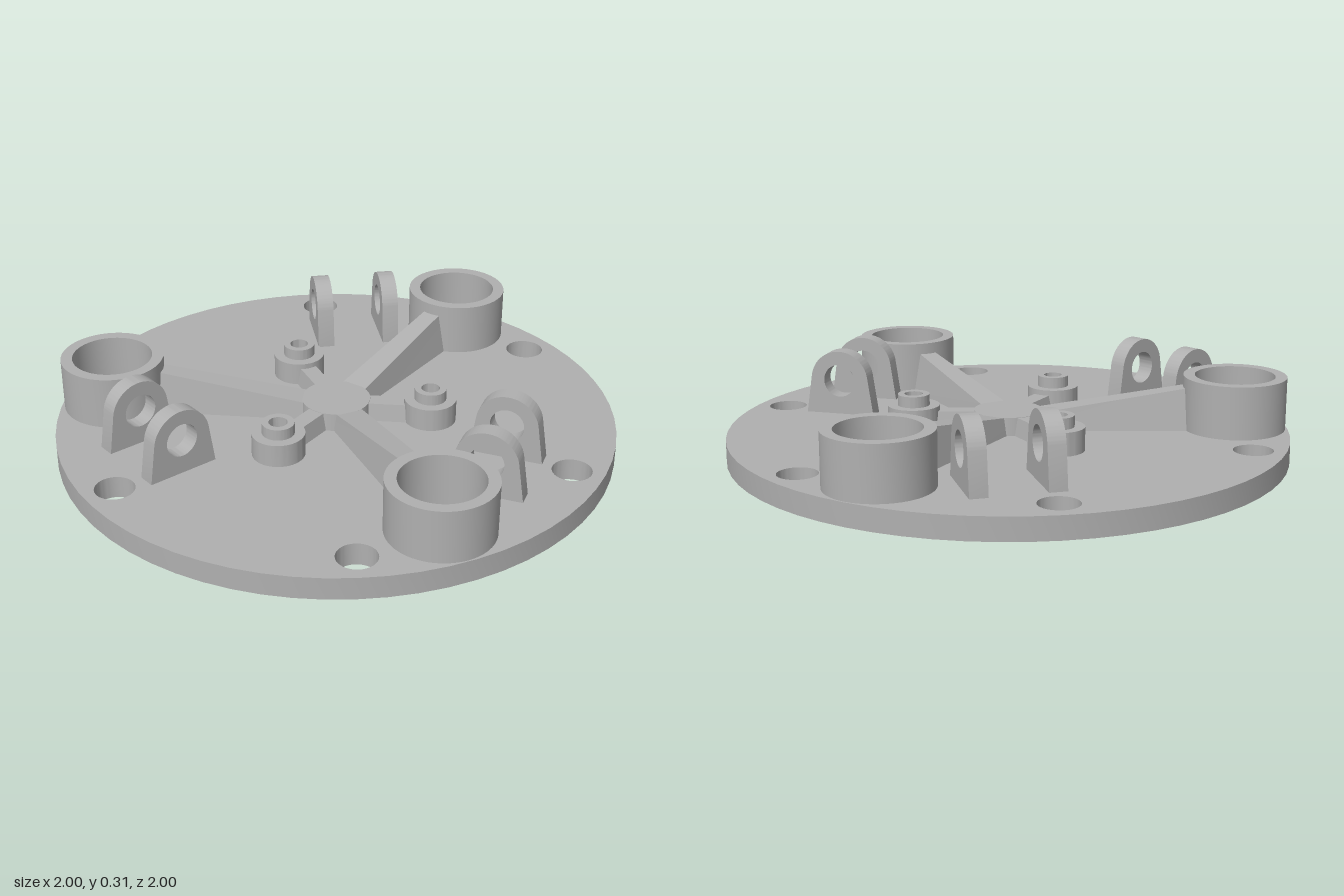
import * as THREE from 'three';
import { toCreasedNormals } from 'three/addons/utils/BufferGeometryUtils.js';

const PLATE = 0.08; // plate thickness
const BURY = 0.07;  // parts start slightly inside the plate
const BORE = { r: 0.81, size: 0.143 };
const PIN = { r: 0.338, size: 0.033 };

export function createModel() {
  const model = new THREE.Group();
  model.name = 'mountingPlate';
  const grey = new THREE.MeshStandardMaterial({ color: 0xb0b0b0 });
  grey.name = 'machined grey';

  const rad = THREE.MathUtils.degToRad;
  const add = (parent, name, geometry) => {
    const mesh = new THREE.Mesh(geometry, grey);
    mesh.name = name;
    parent.add(mesh);
    return mesh;
  };
  const circle = (Type, r, x = 0, y = 0) => new Type().absarc(x, y, r, 0, Math.PI * 2, false);
  const extrude = (shape, depth) => toCreasedNormals(
    new THREE.ExtrudeGeometry(shape, { depth, bevelEnabled: false, curveSegments: 32 }), 0.6);

  // Upright tube between two heights
  const tube = (outer, inner, y0, y1) => {
    const shape = circle(THREE.Shape, outer);
    shape.holes.push(circle(THREE.Path, inner));
    return extrude(shape, y1 - y0).rotateX(-Math.PI / 2).translate(0, y0, 0);
  };

  // Rib along +x with sloping top and drafted sides
  const rib = (r0, r1, y0, y1, base, draft) => {
    const g = new THREE.BoxGeometry(1, 1, 1);
    const p = g.attributes.position;
    for (let i = 0; i < p.count; i++) {
      const far = p.getX(i) > 0;
      const top = far ? y1 : y0;
      const up = p.getY(i) > 0;
      const half = up ? base - draft * (top - PLATE) : base;
      p.setXYZ(i, far ? r1 : r0, up ? top : BURY, Math.sign(p.getZ(i)) * half);
    }
    g.computeVertexNormals();
    return g;
  };

  // Base disc with all through holes
  const disc = circle(THREE.Shape, 1);
  const drill = (r, deg, size) => disc.holes.push(
    circle(THREE.Path, size, r * Math.cos(rad(deg)), -r * Math.sin(rad(deg))));
  for (let k = 0; k < 3; k++) {
    drill(BORE.r, k * 120, BORE.size);
    drill(PIN.r, 60 + k * 120, PIN.size);
    drill(0.888, 20 + k * 120, 0.069);
    drill(0.888, 80 + k * 120, 0.069);
  }
  add(model, 'basePlate', extrude(disc, PLATE).rotateX(-Math.PI / 2));

  // Central hub
  add(model, 'hub', new THREE.CylinderGeometry(0.123, 0.128, 0.145 - BURY, 48))
    .position.y = (0.145 + BURY) / 2;

  // Lug profile: straight flanks tangent to a rounded top, with a cross hole
  const lugShape = new THREE.Shape();
  lugShape.moveTo(-0.13, BURY);
  lugShape.lineTo(0.13, BURY);
  lugShape.lineTo(0.13, PLATE);
  lugShape.absarc(0, 0.205, 0.11, rad(8.5), rad(171.5), false);
  lugShape.lineTo(-0.13, PLATE);
  lugShape.holes.push(circle(THREE.Path, 0.06, 0, 0.205));

  const geo = {
    ring: tube(0.184, BORE.size, BURY, 0.27),
    longRib: rib(0.1, 0.65, 0.142, 0.232, 0.06, 0.18),
    boss: tube(0.093, PIN.size, BURY, 0.163),
    collar: tube(0.057, PIN.size, 0.155, 0.203),
    shortRib: rib(0.08, 0.27, 0.1435, 0.1435, 0.044, 0.22),
    lug: extrude(lugShape, 0.062).translate(0, 0, -0.031),
  };

  // Three identical sectors
  for (let k = 0; k < 3; k++) {
    const sector = new THREE.Group();
    sector.name = 'sector' + (k + 1);
    sector.rotation.y = -rad(120 * k);
    model.add(sector);

    add(sector, 'largeRing', geo.ring).position.x = BORE.r;
    add(sector, 'longRib', geo.longRib);

    const pinArm = new THREE.Group();
    pinArm.name = 'pinArm';
    pinArm.rotation.y = -rad(60);
    sector.add(pinArm);
    add(pinArm, 'boss', geo.boss).position.x = PIN.r;
    add(pinArm, 'bossCollar', geo.collar).position.x = PIN.r;
    add(pinArm, 'shortRib', geo.shortRib);

    const clevis = new THREE.Group();
    clevis.name = 'lugPair';
    clevis.position.z = 0.673;
    clevis.rotation.y = -rad(75);
    sector.add(clevis);
    for (const side of [-1, 1]) add(clevis, 'lug', geo.lug).position.z = side * 0.1275;
  }
  return model;
}
